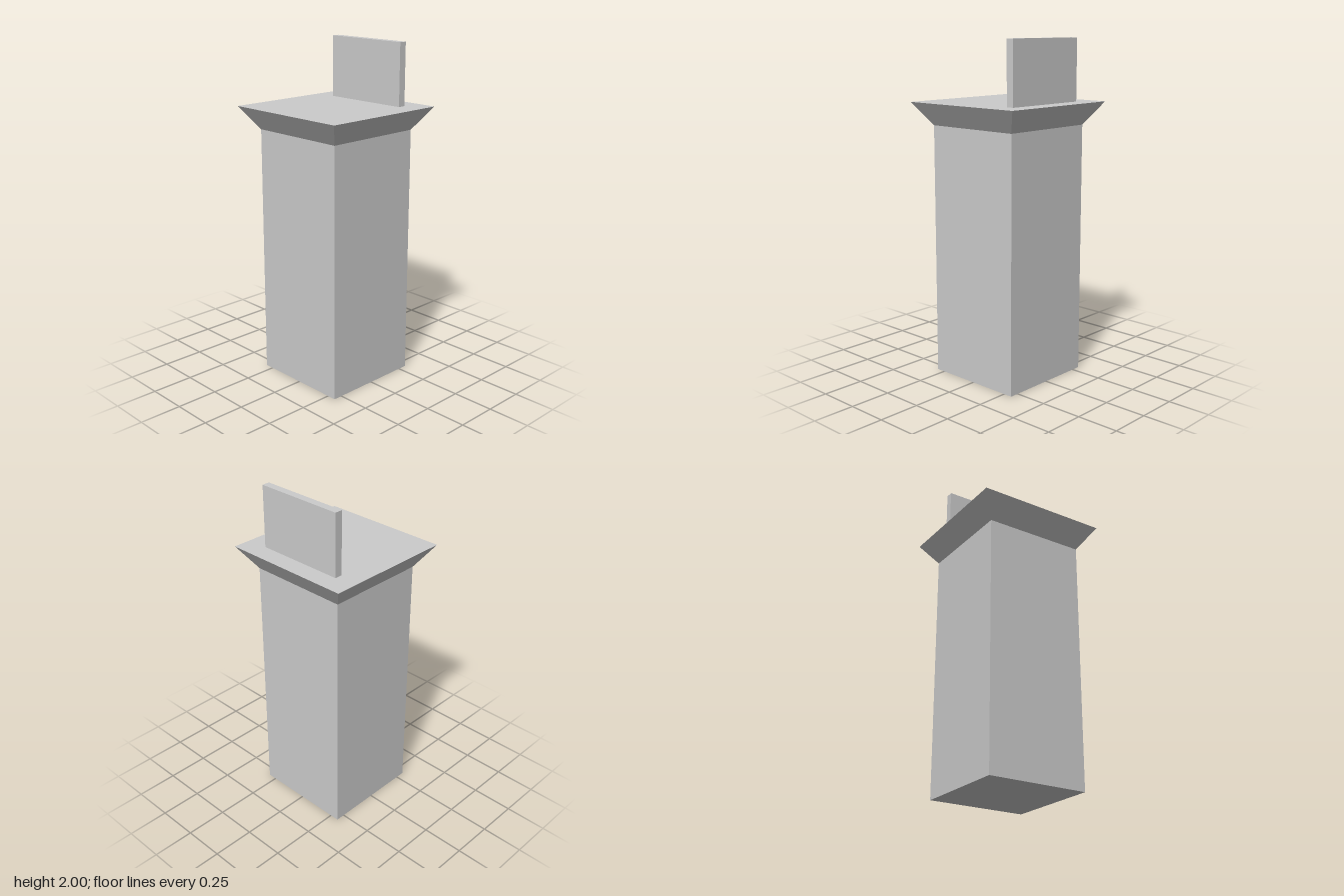
import * as THREE from 'three';

const BODY = 0.61, CAP = 0.795; // square widths
const BODY_TOP = 1.5, CAP_TOP = 1.635, TOP = 2;

export function createModel() {
  const group = new THREE.Group();
  const material = new THREE.MeshStandardMaterial({ color: 0xcccccc, flatShading: true });

  const add = (name, geometry, x, y) => {
    const mesh = new THREE.Mesh(geometry, material);
    mesh.name = name;
    mesh.position.set(x, y, 0);
    group.add(mesh);
  };

  // Square shaft
  add('shaft', new THREE.BoxGeometry(BODY, BODY_TOP, BODY), 0, BODY_TOP / 2);

  // Flared square cap: a four-sided frustum, widest at the top
  const capHeight = CAP_TOP - BODY_TOP;
  const cap = new THREE.CylinderGeometry(CAP * Math.SQRT1_2, BODY * Math.SQRT1_2, capHeight, 4);
  cap.rotateY(Math.PI / 4);
  add('flaredCap', cap, 0, BODY_TOP + capHeight / 2);

  // Thin upright plate near the +x edge of the cap
  const plateHeight = TOP - CAP_TOP;
  add('uprightPlate', new THREE.BoxGeometry(0.046, plateHeight, 0.54), 0.262, CAP_TOP + plateHeight / 2);

  return group;
}
